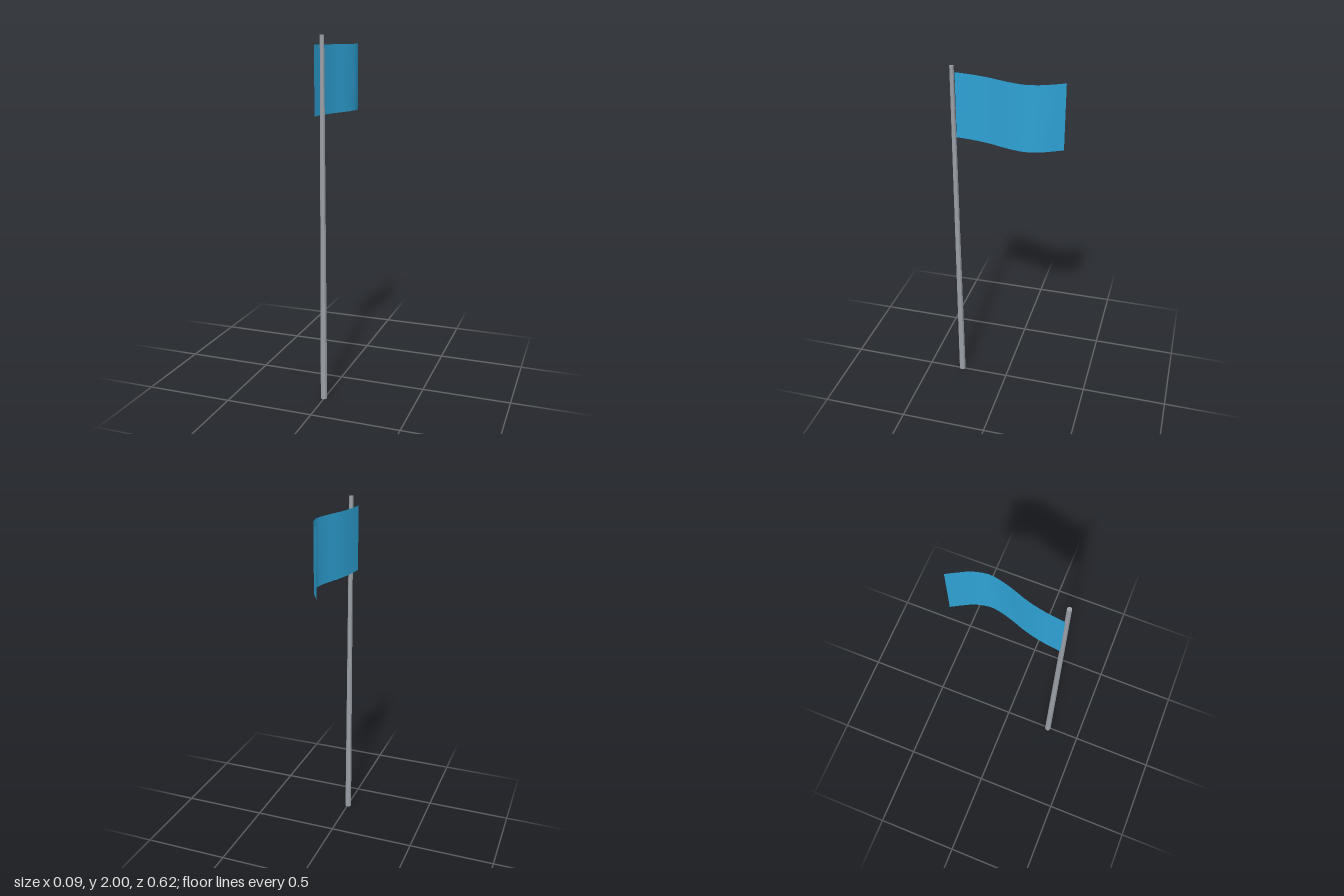
import * as THREE from 'three';

const POLE_X = -0.003, POLE_Z = 0.29;

export function createModel() {
  const group = new THREE.Group();
  const metal = new THREE.MeshStandardMaterial({ color: 0x9ba0a8, flatShading: true });
  metal.name = 'grey metal';
  const cloth = new THREE.MeshStandardMaterial({ color: 0x2ea3d6, side: THREE.DoubleSide });
  cloth.name = 'blue cloth';

  // Tapered eight-sided pole
  const pole = new THREE.Mesh(new THREE.CylinderGeometry(0.012, 0.0195, 2, 8), metal);
  pole.name = 'pole';
  pole.position.set(POLE_X, 1, POLE_Z);
  group.add(pole);

  // Flag sheet: a plane bent along a wave, given as [sideways x, distance behind the pole]
  const wave = new THREE.SplineCurve([
    [-0.047, 0], [-0.035, 0.1], [-0.011, 0.2], [0.018, 0.28], [0.04, 0.36],
    [0.0445, 0.42], [0.023, 0.5], [-0.03, 0.598],
  ].map(([x, d]) => new THREE.Vector2(x, POLE_Z - d)));
  const sheet = new THREE.PlaneGeometry(1, 0.365, 16, 1);
  const pos = sheet.attributes.position;
  for (let i = 0; i < pos.count; i++) {
    const p = wave.getPoint(pos.getX(i) + 0.5);
    pos.setXYZ(i, p.x, pos.getY(i), p.y);
  }
  sheet.computeVertexNormals();
  const flag = new THREE.Mesh(sheet, cloth);
  flag.name = 'flag';
  flag.position.y = 1.7685;
  group.add(flag);

  return group;
}
